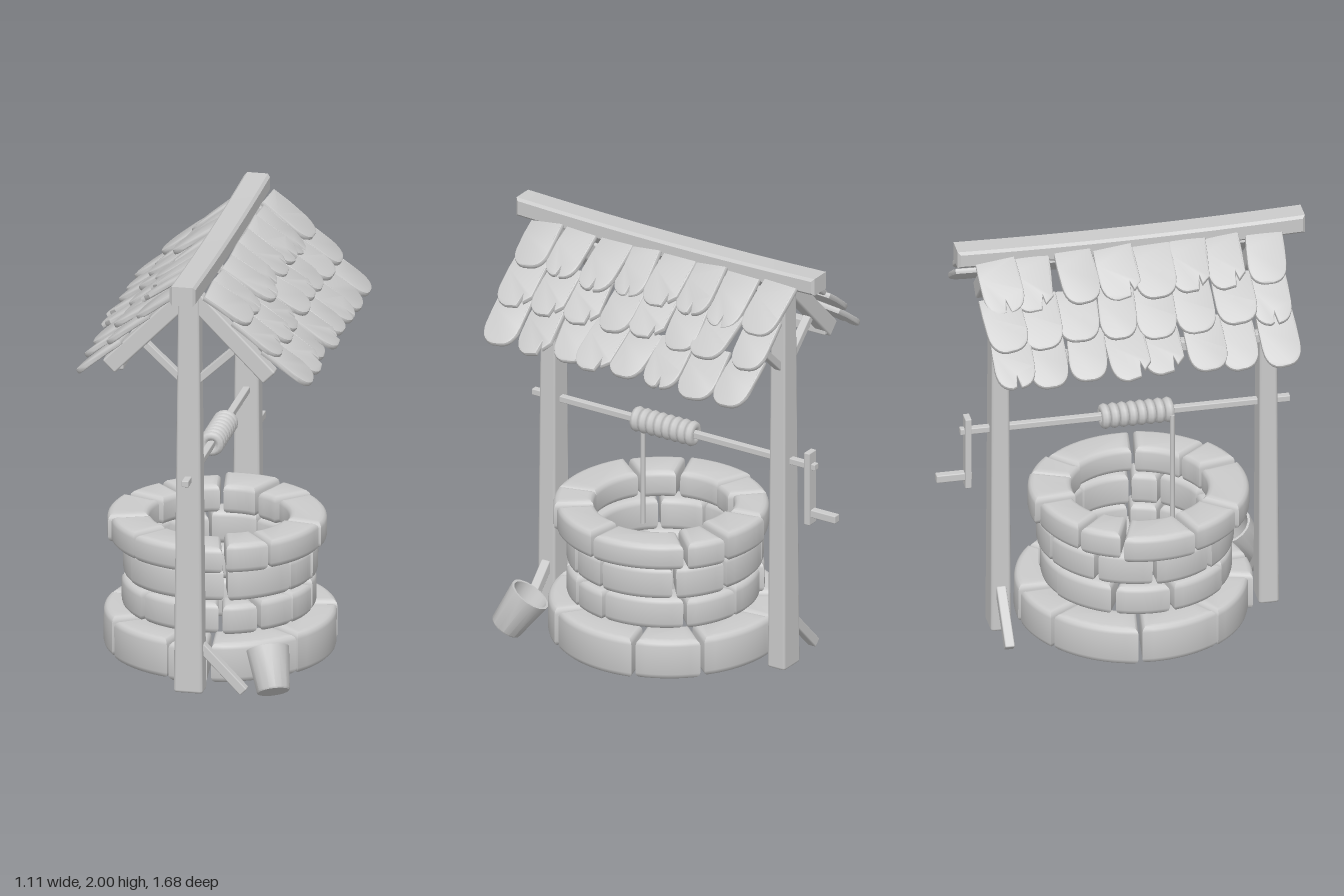
import * as THREE from 'three';
import { toCreasedNormals } from 'three/addons/utils/BufferGeometryUtils.js';
import { RoundedBoxGeometry } from 'three/addons/geometries/RoundedBoxGeometry.js';

const grey = new THREE.MeshStandardMaterial({ color: 0xcccccc });
const greyDouble = new THREE.MeshStandardMaterial({ color: 0xcccccc, side: THREE.DoubleSide });
const UP = new THREE.Vector3(0, 1, 0);
const CX = -0.015; // the timber frame's centre plane

let seed = 7;
const rand = () => (seed = (seed * 16807) % 2147483647) / 2147483647;
const jitter = (a) => (rand() * 2 - 1) * a;

function add(parent, name, geometry, material = grey) {
  const mesh = new THREE.Mesh(geometry, material);
  mesh.name = name;
  parent.add(mesh);
  return mesh;
}

function subgroup(parent, name) {
  const g = new THREE.Group();
  g.name = name;
  parent.add(g);
  return g;
}

// Bevelled timber running from point a to point b
function beam(parent, name, a, b, w, d) {
  const p = new THREE.Vector3(...a), q = new THREE.Vector3(...b);
  const dir = q.clone().sub(p);
  const radius = Math.min(w, d) * 0.14;
  const mesh = add(parent, name, new RoundedBoxGeometry(w, dir.length(), d, 1, radius));
  mesh.position.copy(p).add(q).multiplyScalar(0.5);
  mesh.quaternion.setFromUnitVectors(UP, dir.normalize());
}

// Post, tapering towards its top
function post(parent, name, z) {
  const g = new RoundedBoxGeometry(0.135, 1.93, 0.095, 1, 0.014);
  const p = g.attributes.position;
  for (let i = 0; i < p.count; i++) {
    const t = p.getY(i) / 1.93 + 0.5;
    p.setX(i, p.getX(i) * (1 - 0.28 * t));
    p.setZ(i, p.getZ(i) * (1 - 0.2 * t));
  }
  add(parent, name, g).position.set(CX, 0.985, z);
}

// Curved stone block; angles in degrees from +z towards +x
function stone(parent, a0, a1, ri, ro, y0, y1) {
  const bevel = 0.028, rad = Math.PI / 180;
  const gap = (r) => (bevel + 0.008) / r;
  const s0 = a0 * rad - Math.PI / 2, s1 = a1 * rad - Math.PI / 2;
  const o = ro - bevel, n = ri + bevel;
  const shape = new THREE.Shape();
  shape.absarc(0, 0, o, s0 + gap(o), s1 - gap(o), false);
  shape.absarc(0, 0, n, s1 - gap(n), s0 + gap(n), true);
  shape.closePath();
  const g = new THREE.ExtrudeGeometry(shape, {
    depth: y1 - y0 - 2 * bevel, bevelSize: bevel, bevelThickness: bevel, bevelSegments: 3, curveSegments: 7,
  });
  g.translate(0, 0, bevel).rotateX(-Math.PI / 2);
  // the flat shape's -y becomes +z
  const mesh = add(parent, 'stone', toCreasedNormals(g, 0.65));
  mesh.position.y = y0;
  mesh.rotation.set(jitter(0.012), 0, jitter(0.012));
}

// Wooden shingle: u across, v down the slope; variants have split lower edges
function shingleGeometry(w, len, variant) {
  const h = w / 2, s = new THREE.Shape();
  s.moveTo(-h * 0.96, 0);
  s.lineTo(h * 0.96, 0);
  s.lineTo(h, len * 0.3);
  s.lineTo(h, len * 0.65);
  s.quadraticCurveTo(h * 0.97, len * 0.97, h * 0.25, len);
  if (variant === 1) {
    s.lineTo(h * 0.1, len * 0.98);
    s.lineTo(-h * 0.05, len * 0.76);
    s.lineTo(-h * 0.25, len * 0.97);
  } else if (variant === 2) {
    s.lineTo(-h * 0.35, len * 0.97);
    s.lineTo(-h * 0.5, len * 0.7);
    s.lineTo(-h * 0.68, len * 0.86);
    s.lineTo(-h, len * 0.74);
  }
  if (variant !== 2) {
    s.lineTo(-h * 0.27, len * 0.99);
    s.quadraticCurveTo(-h * 0.97, len * 0.96, -h, len * 0.64);
  }
  s.lineTo(-h, len * 0.3);
  s.closePath();
  const g = new THREE.ExtrudeGeometry(s, {
    depth: 0.012, bevelSize: 0.007, bevelThickness: 0.007, bevelSegments: 2, curveSegments: 6,
  });
  // curl the lower edge down
  const p = g.attributes.position;
  for (let i = 0; i < p.count; i++) p.setZ(i, p.getZ(i) - 0.015 * (p.getY(i) / len) ** 2);
  return toCreasedNormals(g, 0.7);
}

function roofSide(parent, side) {
  const roof = subgroup(parent, side > 0 ? 'leftShingles' : 'rightShingles');
  for (let row = 0; row < 3; row++) {
    for (let col = 0; col < 8; col++) {
      const variant = [0, 0, 1, 0, 2][Math.floor(rand() * 5)];
      const mesh = add(roof, 'shingle', shingleGeometry(0.166 + jitter(0.012), 0.245 + jitter(0.018), variant));
      const a = 0.57 + jitter(0.07);
      const v = new THREE.Vector3(side * Math.cos(a), -Math.sin(a), 0);
      const n = new THREE.Vector3(side * Math.sin(a), Math.cos(a), 0);
      const u = new THREE.Vector3(0, 0, side);
      mesh.quaternion.setFromRotationMatrix(new THREE.Matrix4().makeBasis(u, v, n));
      mesh.rotateZ(jitter(0.09));
      mesh.rotateY(0.07 + jitter(0.06));
      mesh.position.set(side * (0.065 + 0.13 * row), 1.925 - 0.13 * row + jitter(0.007), 0.64 - col * 0.175 + jitter(0.014));
    }
  }
}

// Ridge beam, sagging a little in the middle; drawn as (z, y) and extruded across x
function ridgeBeam(parent) {
  const s = new THREE.Shape();
  s.moveTo(-0.742, 1.922);
  s.quadraticCurveTo(0.02, 1.896, 0.828, 1.922);
  s.lineTo(0.828, 1.988);
  s.quadraticCurveTo(0.02, 1.955, -0.742, 1.98);
  s.closePath();
  const g = new THREE.ExtrudeGeometry(s, {
    depth: 0.095, bevelSize: 0.012, bevelThickness: 0.012, bevelSegments: 1, curveSegments: 8,
  });
  g.rotateY(-Math.PI / 2).translate(CX + 0.0475, 0, 0);
  add(parent, 'ridgeBeam', toCreasedNormals(g, 0.5));
}

export function createModel() {
  const model = new THREE.Group();
  model.name = 'well';

  // Stone rings: centre z, inner and outer radius, height range, joint angles
  const rings = [
    [0.06, 0.345, 0.53, 0.03, 0.22, [-14, 7, 53, 106, 140, 185, 215, 262, 305]],
    [0.075, 0.31, 0.44, 0.232, 0.38, [-40, 13, 36, 60, 84, 135, 170, 205, 245, 280]],
    [0.07, 0.31, 0.435, 0.388, 0.542, [-52, 16, 58, 82, 128, 160, 200, 235, 270]],
    [0.085, 0.31, 0.49, 0.543, 0.678, [-38, 15, 40, 82, 135, 158, 190, 225, 250, 290]],
  ];
  const wall = subgroup(model, 'stoneWall');
  for (const [z, ri, ro, y0, y1, joints] of rings) {
    const ring = subgroup(wall, 'stoneRing');
    ring.position.set(-0.01, 0, z);
    joints.forEach((a, i) => {
      const next = i + 1 < joints.length ? joints[i + 1] : joints[0] + 360;
      stone(ring, a, next, ri + jitter(0.012), ro + jitter(0.013), y0 + jitter(0.004), y1 + jitter(0.008));
    });
  }

  // Timber frame; only one foot brace on each post
  const frame = subgroup(model, 'frame');
  const ends = [[0.672, 1, 'front'], [-0.558, -1, 'back']];
  for (const [z, foot, name] of ends) {
    post(frame, name + 'Post', z);
    beam(frame, name + 'FootBrace', [CX + foot * 0.05, 0.24, z], [CX + foot * 0.25, 0.035, z], 0.045, 0.045);
    for (const s of [1, -1]) {
      beam(frame, name + 'Rafter', [CX + s * 0.01, 1.91, z], [CX + s * 0.37, 1.545, z], 0.08, 0.065);
      beam(frame, name + 'RoofBrace', [CX + s * 0.02, 1.49, z], [CX + s * 0.235, 1.69, z], 0.035, 0.04);
    }
  }
  beam(frame, 'eavesRail', [-0.34, 1.56, 0.7], [-0.34, 1.56, -0.585], 0.05, 0.05);
  ridgeBeam(frame);
  for (const s of [1, -1]) roofSide(model, s);

  // Windlass: axle, crank, wound rope
  const windlass = subgroup(model, 'windlass');
  beam(windlass, 'axle', [CX, 1.04, 0.78], [CX, 1.04, -0.735], 0.033, 0.03);
  beam(windlass, 'crankArm', [CX, 0.755, -0.7], [CX, 1.11, -0.7], 0.06, 0.03);
  beam(windlass, 'crankHandle', [CX, 0.81, -0.68], [CX, 0.81, -0.845], 0.038, 0.038);
  for (let i = 0; i < 8; i++) {
    const coil = add(windlass, 'ropeCoil', new THREE.TorusGeometry(0.037, 0.022, 8, 16));
    coil.position.set(CX, 1.04, 0.22 - i * 0.0415);
    coil.rotation.y = 0.08;
  }
  const rope = add(windlass, 'hangingRope', new THREE.CylinderGeometry(0.011, 0.011, 0.54, 8));
  rope.position.set(CX - 0.055, 0.77, 0.23);

  // Bucket, leaning over on the ground
  const profile = [[0, 0], [0.072, 0], [0.076, 0.006], [0.098, 0.2], [0.086, 0.2], [0.068, 0.02], [0, 0.02]];
  const bucketGeo = new THREE.LatheGeometry(profile.map(([x, y]) => new THREE.Vector2(x, y)), 16);
  const bucket = add(model, 'bucket', toCreasedNormals(bucketGeo, 0.5), greyDouble);
  bucket.position.set(0.37, 0.045, 0.68);
  bucket.quaternion.setFromUnitVectors(UP, new THREE.Vector3(-0.055, 0.19, -0.115).normalize());

  return model;
}
